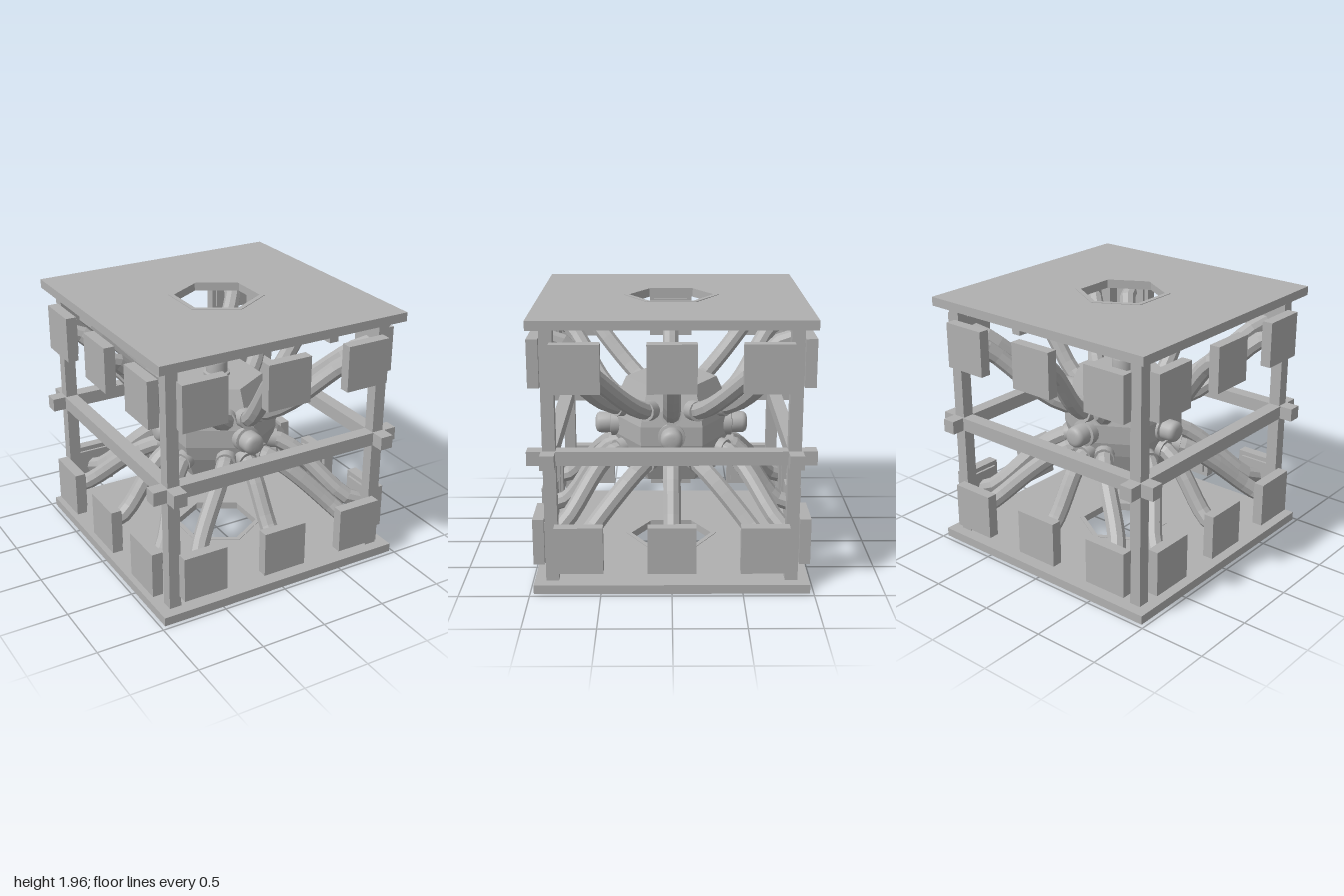
import * as THREE from 'three';
import { toCreasedNormals } from 'three/addons/utils/BufferGeometryUtils.js';

const MID = 0.98; // height of the horizontal symmetry plane

export function createModel() {
  const model = new THREE.Group();
  model.name = 'frameWithCore';
  const grey = new THREE.MeshStandardMaterial({ color: 0xb0b0b0 });
  grey.name = 'plain grey';

  const add = (name, geo, parent = model) => {
    const mesh = new THREE.Mesh(geo, grey);
    mesh.name = name;
    parent.add(mesh);
    return mesh;
  };
  const box = (name, w, h, d, x, y, z, parent) =>
    add(name, new THREE.BoxGeometry(w, h, d).translate(x, y, z), parent);
  const facet = (geo) => {
    const g = geo.index ? geo.toNonIndexed() : geo;
    g.computeVertexNormals();
    return g;
  };
  const hexPoints = (r) => Array.from({ length: 6 }, (_, i) => {
    const a = (i * Math.PI) / 3;
    return new THREE.Vector2(r * Math.sin(a), r * Math.cos(a));
  });
  // Horizontal slab with a hexagonal hole, centred on the given height
  const holedSlab = (name, outline, holeRadius, thickness, y) => {
    const shape = new THREE.Shape(outline);
    shape.holes.push(new THREE.Path(hexPoints(holeRadius)));
    const geo = new THREE.ExtrudeGeometry(shape, { depth: thickness, bevelEnabled: false });
    geo.translate(0, 0, -thickness / 2).rotateX(-Math.PI / 2).translate(0, y, 0);
    add(name, geo);
  };

  // Top and bottom plates with slightly raised hexagonal rims
  const e = 0.972;
  const square = [[-e, -e], [e, -e], [e, e], [-e, e]].map((p) => new THREE.Vector2(...p));
  for (const [label, y] of [['bottom', 0.037], ['top', 1.923]]) {
    holedSlab(label + 'Plate', square, 0.33, 0.066, y);
    holedSlab(label + 'Rim', hexPoints(0.35), 0.31, 0.074, y);
  }

  // Corner posts and the belt of crossing beams
  for (const s of [-1, 1]) {
    for (const t of [-1, 1]) box('post', 0.09, 1.83, 0.09, s * 0.845, MID, t * 0.845);
    box('crossBeam', 2, 0.1, 0.1, 0, MID, s * 0.85);
    box('sideBeam', 0.1, 0.1, 2, s * 0.85, MID, 0);
  }

  // Six-sided core
  const profile = [[0, -0.36], [0.34, -0.36], [0.42, -0.18], [0.45, -0.07],
    [0.45, 0.07], [0.42, 0.18], [0.34, 0.36], [0, 0.36]];
  add('core', facet(new THREE.LatheGeometry(profile.map((p) => new THREE.Vector2(...p)), 6)))
    .position.y = MID;

  // Round-ended nubs with collars on six sides of the core
  const nubProfile = [[0.1, -0.08], [0.1, 0.025], [0.08, 0.03], [0.08, 0.105]];
  for (let i = 1; i <= 4; i++) {
    const a = (i * Math.PI) / 8;
    nubProfile.push([0.035 + 0.045 * Math.cos(a), 0.105 + 0.04 * Math.sin(a)]);
  }
  nubProfile.push([0, 0.148]);
  const nubGeo = toCreasedNormals(
    new THREE.LatheGeometry(nubProfile.map((p) => new THREE.Vector2(...p)), 20), 0.6);
  const up = new THREE.Vector3(0, 1, 0);
  const axes = [[1, 0, 0, 0.385], [0, 1, 0, 0.355], [0, 0, 1, 0.43]];
  for (const [x, y, z, reach] of axes) {
    for (const s of [-1, 1]) {
      const dir = new THREE.Vector3(x, y, z).multiplyScalar(s);
      const nub = add('nub', nubGeo);
      nub.quaternion.setFromUnitVectors(up, dir);
      nub.position.copy(dir).multiplyScalar(reach).y += MID;
    }
  }

  // Square pads, each joined to the core by a curved pipe
  const names = ['front', 'left', 'back', 'right'];
  names.forEach((label, k) => {
    const side = new THREE.Group();
    side.name = label + 'Pads';
    side.rotation.y = (k * Math.PI) / 2;
    model.add(side);
    const flat = k % 2 === 1; // sides where the core shows a flat face
    for (const v of [-1, 1]) {
      for (const h of [-1, 0, 1]) {
        const x = h * 0.65;
        const y = MID + v * 0.648;
        box('pad', 0.34, 0.34, 0.08, x, y, 0.945, side);
        box('padBacking', 0.27, 0.27, 0.02, x, y, 0.896, side);

        const sx = h * (flat ? 0.16 : 0.12);
        const sy = MID + v * (h && flat ? 0.19 : 0.16);
        const sz = h || flat ? 0.35 : 0.4;
        const curve = new THREE.CubicBezierCurve3(
          new THREE.Vector3(sx, sy, sz),
          new THREE.Vector3(h * 0.28, sy + v * 0.01, 0.6),
          new THREE.Vector3(h * 0.62, y, 0.7),
          new THREE.Vector3(x, y, 0.89));
        add('pipe', facet(new THREE.TubeGeometry(curve, 9, 0.065, 9)), side);

        // Collar where the pipe leaves the core
        const collar = add('pipeCollar',
          new THREE.CylinderGeometry(0.075, 0.075, 0.09, 14), side);
        collar.position.copy(curve.getPoint(0.03));
        collar.quaternion.setFromUnitVectors(up, curve.getTangent(0.03));
      }
    }
  });

  return model;
}
